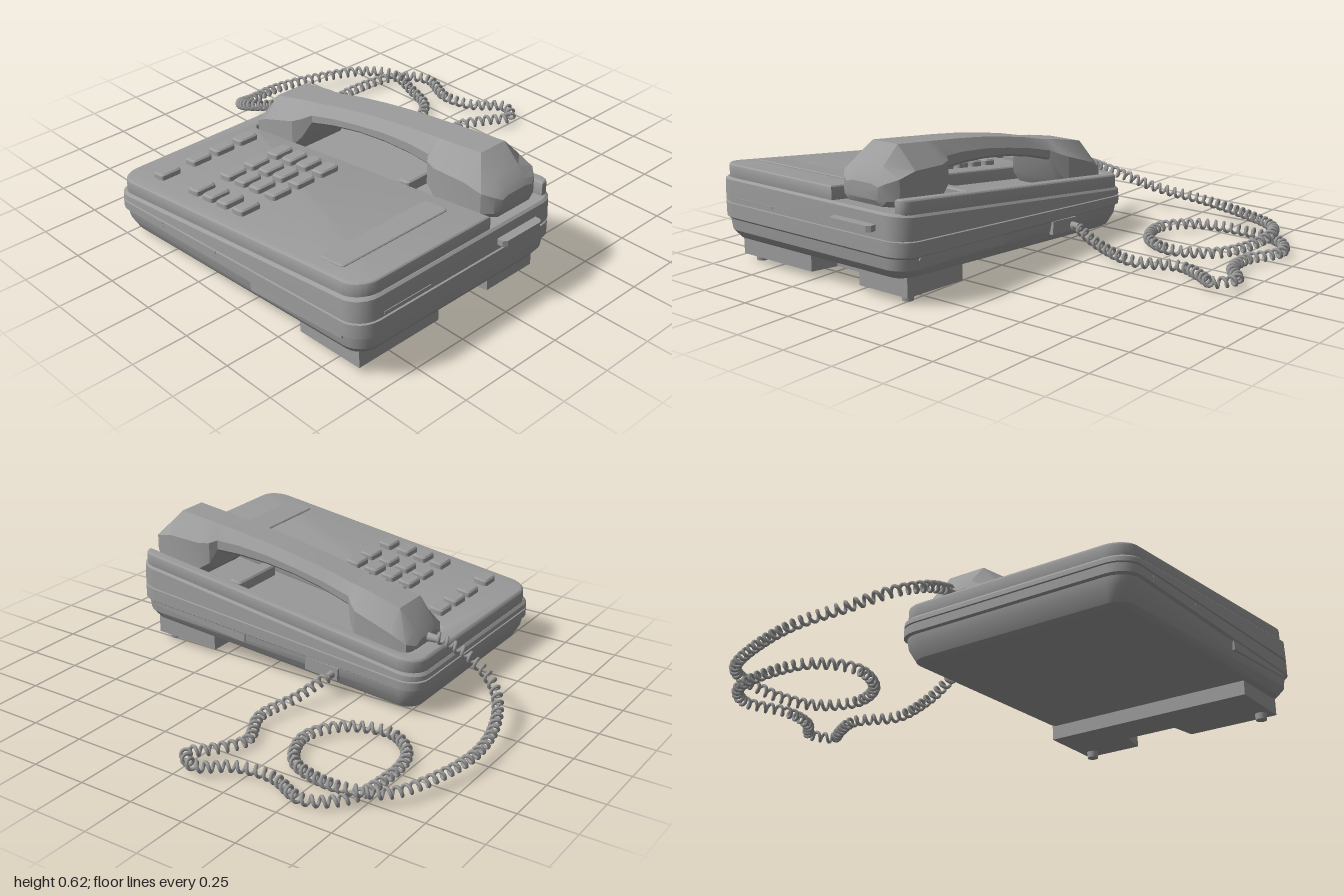
import * as THREE from 'three';
import { toCreasedNormals } from 'three/addons/utils/BufferGeometryUtils.js';

const grey = new THREE.MeshStandardMaterial({ color: 0x9c9c9c });
grey.name = 'grey plastic';

// Heights of the sloping handset well floor and of the top panel
const floorY = (z) => 0.39 - 0.128 * (0.95 - z);
const topY = (z) => floorY(z) + 0.06;

// Skin a stack of equal-length closed loops and cap both ends
function loft(loops, crease = 0.5) {
  const n = loops[0].length, pos = [], idx = [];
  for (const loop of loops) for (const p of loop) pos.push(...p);
  for (let i = 0; i < loops.length - 1; i++) {
    for (let j = 0; j < n; j++) {
      const k = (j + 1) % n, a = i * n + j, b = i * n + k;
      idx.push(a, b, b + n, a, b + n, a + n);
    }
  }
  const last = (loops.length - 1) * n;
  for (const [base, end] of [[0, false], [last, true]]) {
    const c = pos.length / 3;
    const loop = loops[base / n];
    pos.push(...[0, 1, 2].map((d) => loop.reduce((s, p) => s + p[d], 0) / n));
    for (let j = 0; j < n; j++) {
      const k = (j + 1) % n;
      if (end) idx.push(c, base + j, base + k);
      else idx.push(c, base + k, base + j);
    }
  }
  const g = new THREE.BufferGeometry();
  g.setAttribute('position', new THREE.Float32BufferAttribute(pos, 3));
  g.setIndex(idx);
  return toCreasedNormals(g, crease);
}

// Horizontal rounded rectangle whose height follows yAt(z)
function roundRect(cx, cz, w, d, r, yAt, steps = 6) {
  const pts = [];
  [[1, 1], [-1, 1], [-1, -1], [1, -1]].forEach(([sx, sz], q) => {
    for (let i = 0; i <= steps; i++) {
      const a = (q + i / steps) * Math.PI / 2;
      const x = cx + sx * (w / 2 - r) + r * Math.cos(a);
      const z = cz - sz * (d / 2 - r) - r * Math.sin(a);
      pts.push([x, yAt(z), z]);
    }
  });
  return pts;
}

// Small rounded pad standing on a sloping surface
function pad(cx, cz, w, d, h, base, bevel = 0.007) {
  const ring = (inset, y) => roundRect(cx, cz, w - 2 * inset, d - 2 * inset, 0.014, (z) => base(z) + y, 3);
  return loft([ring(0, -0.01), ring(0, h - bevel), ring(bevel, h)]);
}

// Spring-like curve wound around a path
class CoilCurve extends THREE.Curve {
  constructor(path, radius, turns) {
    super();
    Object.assign(this, { path, radius, turns });
  }
  getPoint(t, target = new THREE.Vector3()) {
    const dir = this.path.getTangentAt(t);
    const side = new THREE.Vector3(0, 1, 0).cross(dir).normalize();
    const up = dir.clone().cross(side);
    const a = t * this.turns * Math.PI * 2;
    return target.copy(this.path.getPointAt(t))
      .addScaledVector(side, this.radius * Math.cos(a))
      .addScaledVector(up, this.radius * Math.sin(a));
  }
}

export function createModel() {
  const model = new THREE.Group();
  model.name = 'deskTelephone';
  const add = (name, geometry, parent = model) => {
    const m = new THREE.Mesh(geometry, grey);
    m.name = name;
    parent.add(m);
    return m;
  };
  const box = (name, x, y, z, w, h, d, tilt = 0) => {
    const m = add(name, new THREE.BoxGeometry(w, h, d));
    m.position.set(x, y, z);
    m.rotation.x = tilt;
    return m;
  };

  // Wedge-shaped case: inset, height at the front, height at the back
  const levels = [
    [0.07, 0.11, 0.005], [0.045, 0.12, 0.02], [0.018, 0.155, 0.075], [0.012, 0.205, 0.115],
    [0, 0.215, 0.122], [0, 0.277, 0.158], [0.008, 0.279, 0.16], [0.008, 0.285, 0.164],
    [0, 0.287, 0.166], [0.002, 0.38, 0.185], [0.012, 0.39, 0.195],
  ];
  add('case', loft(levels.map(([s, f, b]) =>
    roundRect(-0.455, 0.195, 1.09 - 2 * s, 1.53 - 2 * s, 0.1 - s / 2,
      (z) => b + (f - b) * (z + 0.57) / 1.52))));

  // Raised top panel with an open-fronted well for the handset
  const L = -0.985, R = 0.078, B = 0.557, F = -0.945, r = 0.1, wl = -0.305, wr = 0.022, wb = 0.475;
  const s = new THREE.Shape();
  s.moveTo(L + r, F);
  s.lineTo(wl, F);
  s.lineTo(wl, wb - 0.05);
  s.quadraticCurveTo(wl, wb, wl + 0.05, wb);
  s.lineTo(wr - 0.05, wb);
  s.quadraticCurveTo(wr, wb, wr, wb - 0.05);
  s.lineTo(wr, F + 0.02);
  s.lineTo(wr + 0.02, F + 0.02);
  s.quadraticCurveTo(R, F + 0.03, R, F + 0.09);
  s.lineTo(R, B - r);
  s.absarc(R - r, B - r, r, 0, Math.PI / 2);
  s.lineTo(L + r, B);
  s.absarc(L + r, B - r, r, Math.PI / 2, Math.PI);
  s.lineTo(L, F + r);
  s.absarc(L + r, F + r, r, Math.PI, Math.PI * 1.5);
  const panel = new THREE.ExtrudeGeometry(s, {
    depth: 0.046, bevelThickness: 0.014, bevelSize: 0.014, bevelOffset: -0.014, bevelSegments: 3, curveSegments: 8,
  });
  panel.rotateX(-Math.PI / 2);
  const p = panel.attributes.position;
  for (let i = 0; i < p.count; i++) p.setY(i, p.getY(i) + floorY(p.getZ(i)));
  add('topPanel', toCreasedNormals(panel, 0.5));

  // Keys
  const keys = new THREE.Group();
  keys.name = 'keys';
  model.add(keys);
  for (const z of [-0.38, -0.14, -0.045, 0.047, 0.147]) {
    for (const x of [-0.85, -0.685, -0.56, -0.432]) add('key', pad(x, z, 0.1, 0.068, 0.027, topY), keys);
  }
  add('cardWindow', pad(-0.647, 0.725, 0.55, 0.125, 0.007, topY, 0.004));
  add('hookTab', pad(-0.14, 0.45, 0.28, 0.06, 0.05, floorY));

  // Handset, back to front: z, top, shoulder, bottom, half width, half width of the top facet
  const stations = [
    [-0.485, 0.30, 0.28, 0.215, 0.10, 0.06], [-0.46, 0.34, 0.295, 0.205, 0.145, 0.075],
    [-0.39, 0.427, 0.335, 0.21, 0.16, 0.085], [-0.21, 0.465, 0.395, 0.235, 0.16, 0.07],
    [-0.175, 0.47, 0.41, 0.29, 0.135, 0.066], [-0.14, 0.476, 0.43, 0.385, 0.105, 0.066],
    [0, 0.51, 0.465, 0.425, 0.1, 0.066], [0.15, 0.54, 0.495, 0.458, 0.1, 0.066],
    [0.3, 0.565, 0.52, 0.475, 0.1, 0.066], [0.45, 0.585, 0.535, 0.483, 0.105, 0.066],
    [0.565, 0.598, 0.54, 0.483, 0.115, 0.067], [0.59, 0.601, 0.53, 0.40, 0.145, 0.067],
    [0.64, 0.607, 0.525, 0.36, 0.16, 0.068], [0.8, 0.625, 0.53, 0.385, 0.16, 0.068],
    [0.88, 0.55, 0.51, 0.393, 0.15, 0.065], [0.92, 0.513, 0.495, 0.40, 0.115, 0.06],
    [0.935, 0.49, 0.48, 0.425, 0.085, 0.05],
  ];
  add('handset', loft(stations.map(([z, t, h, b, w, tw]) => {
    const c = (h - b) * 0.25;
    const half = [[w - c, b], [w, b + c], [w, h], [tw, t]];
    const mirrored = half.map(([x, y]) => [-x, y]).reverse();
    return [...half, ...mirrored].map(([x, y]) => [x - 0.142, y, z]);
  }), 0.45));

  // Notched stand under the front, with round rubber feet
  const stand = new THREE.Shape([
    [-0.93, -0.88], [-0.51, -0.88], [-0.49, -0.75], [-0.25, -0.75], [-0.23, -0.88],
    [0.035, -0.88], [0.035, -0.55], [-0.93, -0.55],
  ].map((q) => new THREE.Vector2(...q)));
  const standGeo = new THREE.ExtrudeGeometry(stand, { depth: 0.12, bevelEnabled: false });
  standGeo.rotateX(-Math.PI / 2);
  const sp = standGeo.attributes.position;
  for (let i = 0; i < sp.count; i++) if (sp.getY(i) < 0.06) sp.setY(i, 0.018 + (sp.getZ(i) - 0.55) * 0.04);
  standGeo.computeVertexNormals();
  add('stand', standGeo);
  for (const x of [-0.88, -0.015]) {
    add('rubberFoot', new THREE.CylinderGeometry(0.028, 0.024, 0.04, 20)).position.set(x, 0.02, 0.825);
  }

  // Pull-out tab, front slot and side details
  add('frontTab', loft([[0.94, 0.112], [0.985, 0.112], [0.998, 0.095]].map(([z, w]) =>
    [[-w, 0.312], [w, 0.312], [w, 0.338], [-w, 0.338]].map(([x, y]) => [x - 0.163, y, z]))));
  box('frontSlot', -0.76, 0.302, 0.957, 0.24, 0.012, 0.012);
  for (const x of [0.077, -0.987]) box('sideSlot', x, 0.18, 0.595, 0.014, 0.04, 0.52, -0.11);
  for (const z of [0.05, -0.3]) box('sideVent', -0.995, 0.19 + z * 0.09, z, 0.012, 0.025, 0.16, -0.09);
  box('cordSocket', 0.078, 0.115, -0.085, 0.02, 0.06, 0.17, -0.08);

  // Plugs at both ends of the cord
  const plug = add('handsetPlug', new THREE.CylinderGeometry(0.016, 0.022, 0.08, 16));
  plug.position.set(-0.145, 0.285, -0.495);
  plug.rotation.x = -Math.PI / 2;
  const casePlug = add('casePlug', new THREE.CylinderGeometry(0.014, 0.018, 0.05, 16));
  casePlug.position.set(0.1, 0.105, -0.14);
  casePlug.rotation.z = -Math.PI / 2;

  // Coiled cord from handset to case
  const path = new THREE.CatmullRomCurve3([
    [-0.147, 0.295, -0.52], [-0.157, 0.24, -0.675], [-0.1, 0.17, -0.825], [0.03, 0.11, -0.915],
    [0.27, 0.075, -0.965], [0.535, 0.06, -0.915], [0.72, 0.055, -0.825], [0.79, 0.06, -0.69],
    [0.765, 0.04, -0.53], [0.695, 0.035, -0.37], [0.51, 0.035, -0.29], [0.35, 0.035, -0.37],
    [0.285, 0.035, -0.56], [0.40, 0.035, -0.71], [0.615, 0.035, -0.74], [0.83, 0.035, -0.69],
    [0.915, 0.035, -0.56], [0.845, 0.035, -0.37], [0.87, 0.04, -0.21], [0.963, 0.045, -0.08],
    [0.9, 0.045, 0.01], [0.81, 0.04, -0.05], [0.67, 0.035, -0.115], [0.48, 0.04, -0.04],
    [0.27, 0.06, -0.09], [0.11, 0.105, -0.14],
  ].map((q) => new THREE.Vector3(...q)));
  path.arcLengthDivisions = 1000;
  const turns = Math.round(path.getLength() / 0.04);
  add('coiledCord', new THREE.TubeGeometry(new CoilCurve(path, 0.02, turns), turns * 12, 0.0075, 6));

  return model;
}
